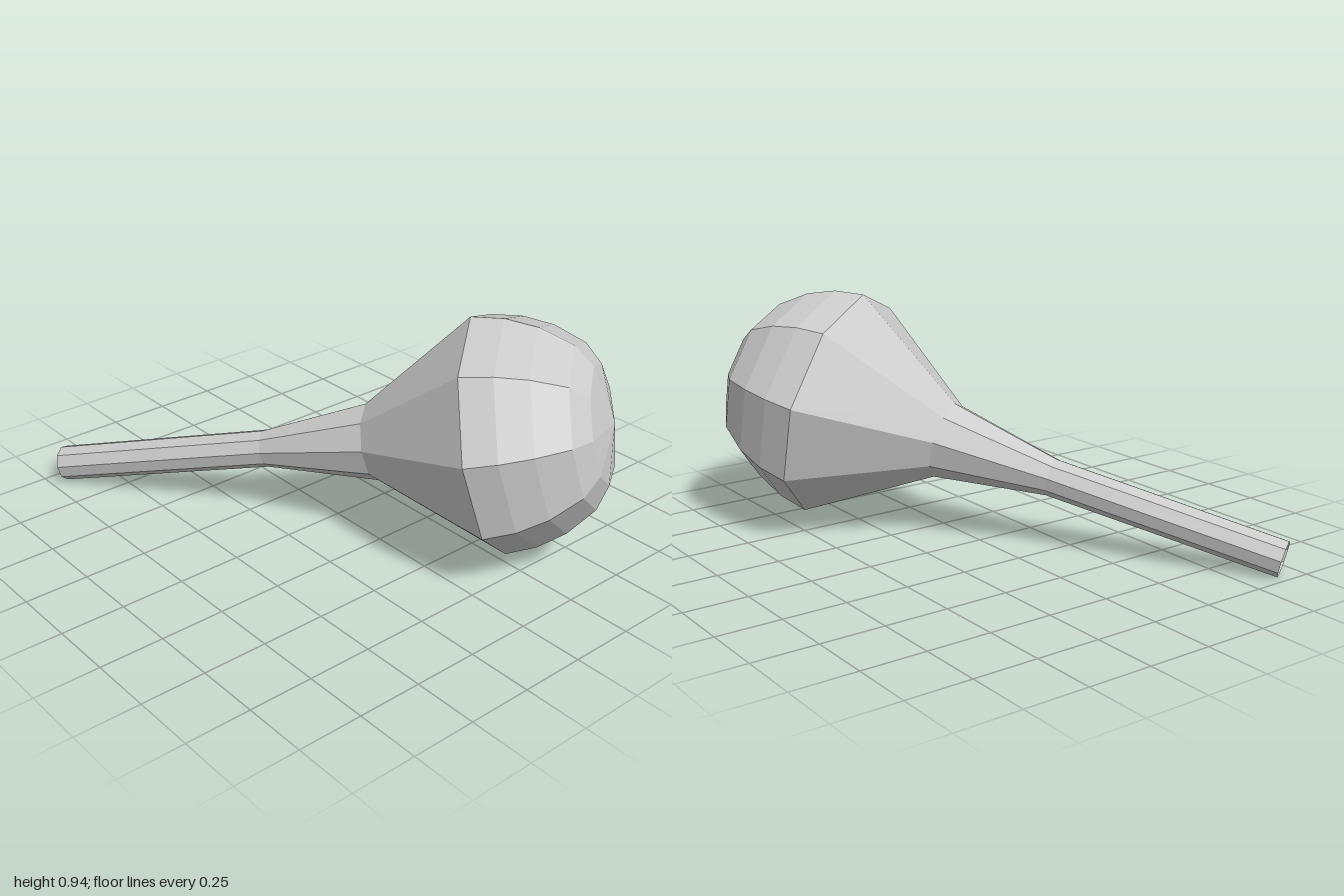
import * as THREE from 'three';

export function createModel() {
  const group = new THREE.Group();
  const material = new THREE.MeshStandardMaterial({
    color: 0xcccccc, flatShading: true, side: THREE.DoubleSide,
  });

  // Build one nine-sided turned part from [radius, distance along axis] pairs
  const turned = (name, profile) => {
    const points = profile.map(([r, t]) => new THREE.Vector2(r, t));
    const mesh = new THREE.Mesh(new THREE.LatheGeometry(points, 9), material);
    mesh.name = name;
    return mesh;
  };

  const body = new THREE.Group();
  body.name = 'bulbWithHandle';

  // Open hollow handle and flaring neck
  body.add(turned('handle', [[0.071, 0], [0.074, 0.914]]));
  body.add(turned('neck', [[0.074, 0.914], [0.153, 1.363], [0.456, 1.83]]));

  // Faceted dome closing the bulb
  body.add(turned('dome', [
    [0.456, 1.83], [0.436, 1.95], [0.39, 2.065], [0.31, 2.18], [0.225, 2.235], [0, 2.276],
  ]));

  // Tilt the axis so the handle runs back, down and to the right,
  // with one corner of each ring pointing upwards
  const axis = new THREE.Vector3(0.522, 0.23, 0.821).normalize();
  const up = new THREE.Vector3(0, 1, 0).addScaledVector(axis, -axis.y).normalize();
  const side = new THREE.Vector3().crossVectors(axis, up);
  body.quaternion.setFromRotationMatrix(new THREE.Matrix4().makeBasis(side, axis, up));
  body.position.set(-0.667, 0.067, -0.96);

  group.add(body);
  return group;
}
